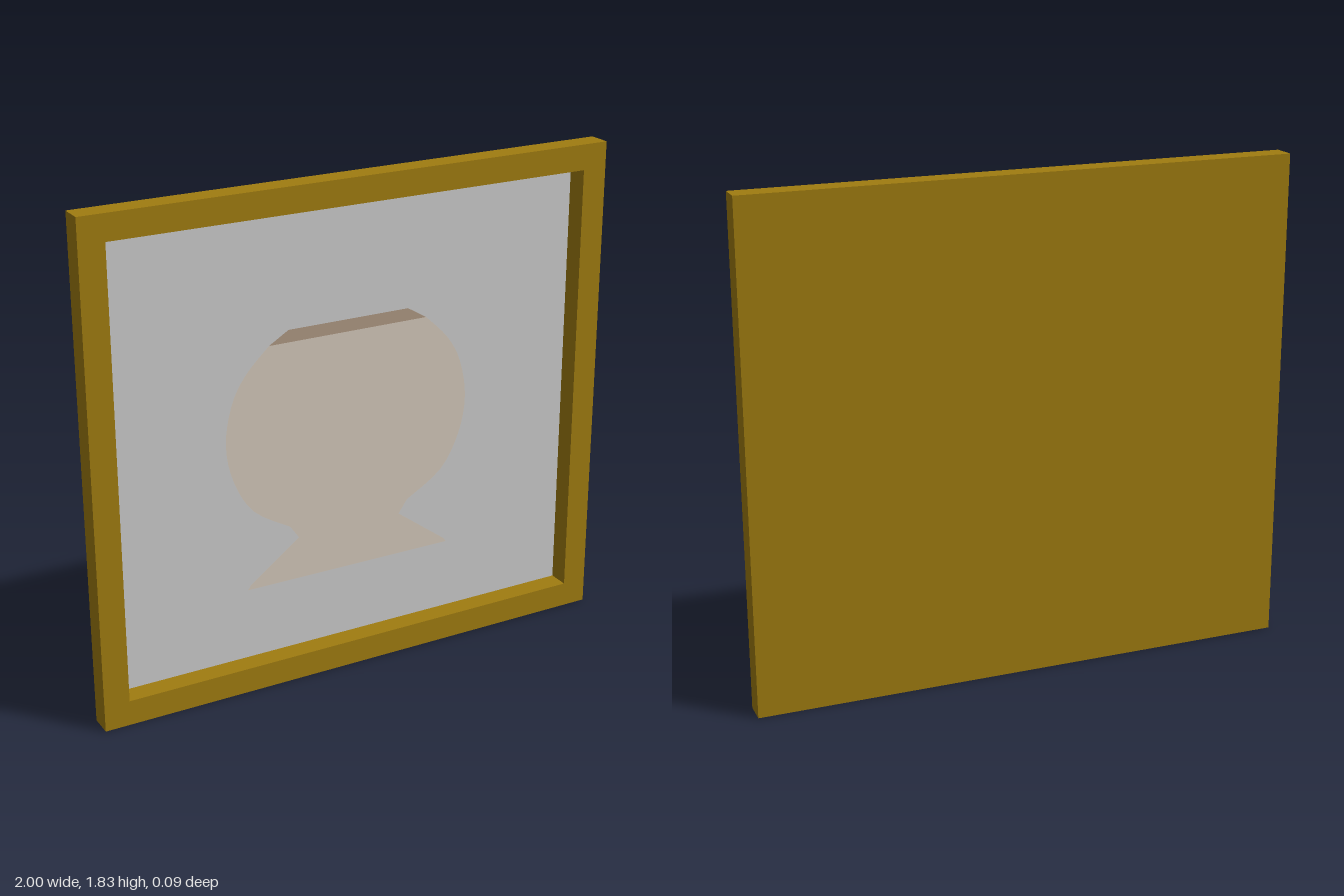
import * as THREE from 'three';

const W = 2, H = 1.825, D = 0.085, BORDER = 0.093, BACK = 0.005;

const paint = (color) => new THREE.MeshStandardMaterial({ color, flatShading: true });

function rectangle(target, w, h) {
  target.moveTo(-w / 2, -h / 2);
  target.lineTo(w / 2, -h / 2);
  target.lineTo(w / 2, h / 2);
  target.lineTo(-w / 2, h / 2);
  target.closePath();
  return target;
}

// Mirrors a right-hand outline (bottom to top) into a symmetric flat shape
function mirroredShape(half) {
  const right = half.map(([x, y]) => new THREE.Vector2(x, y));
  const left = half.map(([x, y]) => new THREE.Vector2(-x, y)).reverse();
  return new THREE.ShapeGeometry(new THREE.Shape([...right, ...left]));
}

export function createModel() {
  const group = new THREE.Group();
  const wood = paint(0xa07c10);

  const add = (name, geometry, material, y, z) => {
    const mesh = new THREE.Mesh(geometry, material);
    mesh.name = name;
    mesh.position.set(0, y, z);
    group.add(mesh);
  };

  // Square-edged frame with a rectangular opening
  const outline = rectangle(new THREE.Shape(), W, H);
  outline.holes.push(rectangle(new THREE.Path(), W - 2 * BORDER, H - 2 * BORDER));
  const frame = new THREE.ExtrudeGeometry(outline, { depth: D, bevelEnabled: false });
  add('frame', frame, wood, H / 2, -D / 2);

  // Backing closes the opening flush with the rear of the frame
  const innerW = W - 2 * BORDER, innerH = H - 2 * BORDER;
  add('backing', new THREE.BoxGeometry(innerW, innerH, BACK), wood, H / 2, -D / 2 + BACK / 2);

  // Picture surface deep inside the frame
  const pictureZ = -D / 2 + BACK + 0.001;
  add('picture', new THREE.PlaneGeometry(innerW, innerH), paint(0xcccccc), H / 2, pictureZ);

  // Painted bowl: flared foot, narrow neck and rounded body
  const bowl = [[0.41, 0.36], [0.40, 0.375], [0.205, 0.52], [0.24, 0.57]];
  const side = new THREE.SplineCurve([
    [0.24, 0.57], [0.38, 0.66], [0.455, 0.79], [0.48, 0.93], [0.455, 1.07], [0.40, 1.17], [0.31, 1.26],
  ].map(([x, y]) => new THREE.Vector2(x, y)));
  side.getPoints(24).slice(1).forEach((p) => bowl.push([p.x, p.y]));
  add('paintedBowl', mirroredShape(bowl), paint(0xd3c7b9), 0, pictureZ + 0.001);

  // Darker painted opening at the top of the bowl
  const rim = mirroredShape([[0.31, 1.26], [0.235, 1.305]]);
  add('paintedRim', rim, paint(0xae9882), 0, pictureZ + 0.001);

  return group;
}
